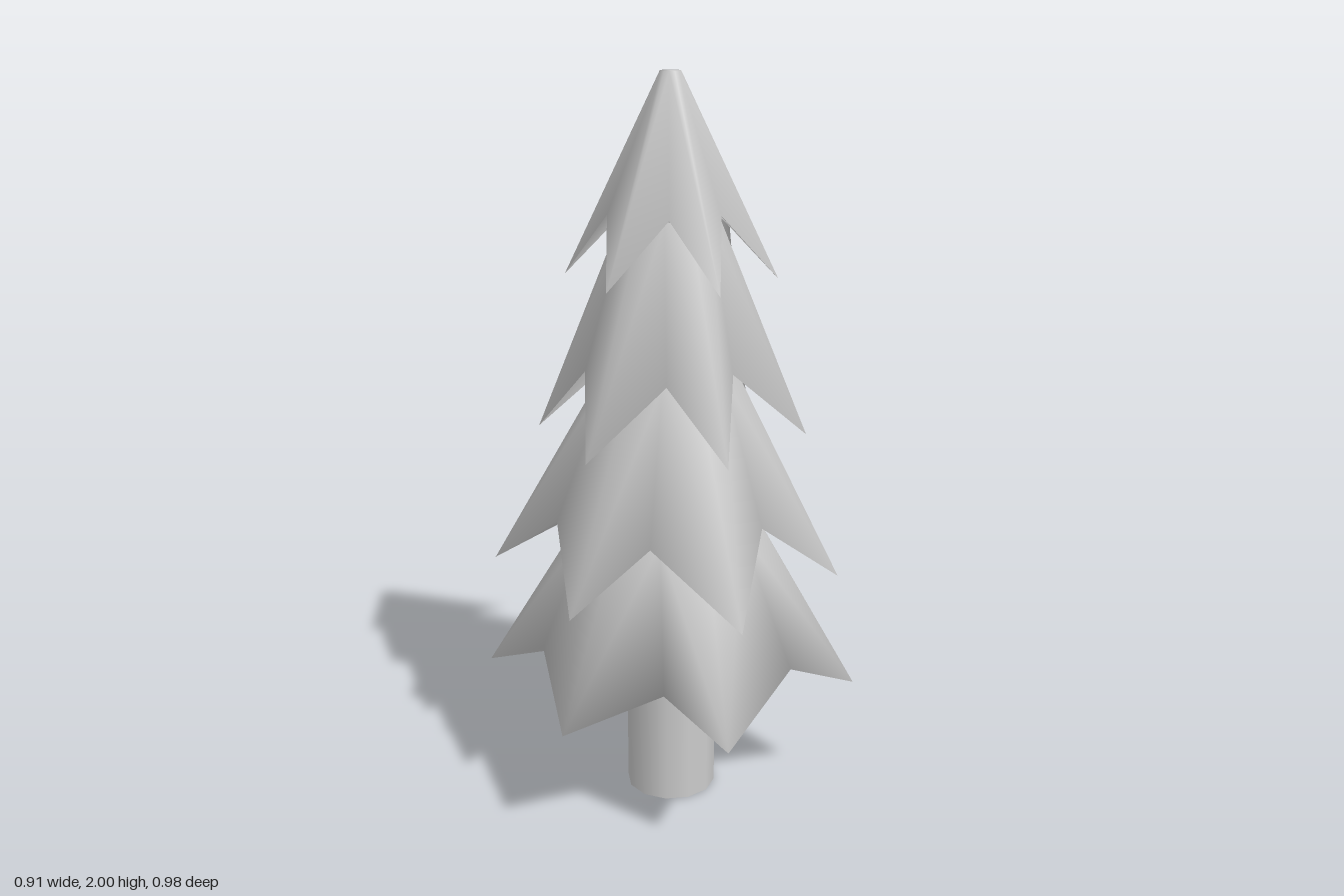
import * as THREE from 'three';

const SIDES = 12;
const material = new THREE.MeshStandardMaterial({ color: 0xcccccc });

// Round 12-point ring of radius r at height y, starting at the front and turning towards +x
function roundRing(r, y) {
  return Array.from({ length: SIDES }, (_, k) => {
    const a = (k / SIDES) * Math.PI * 2;
    return [r * Math.sin(a) - 0.004, y, r * Math.cos(a) + 0.008];
  });
}

// Star ring: even points are drooping tips, odd points are raised notches
function starRing(outline, tipY, notchY) {
  return outline.map(([x, z], k) => [x, k % 2 ? notchY : tipY, z]);
}

// Smooth skin over rings listed from top to bottom, optionally closed at the top
function skin(rings, capTop) {
  const points = rings.flat();
  const index = [];
  for (let r = 0; r < rings.length - 1; r++) {
    for (let k = 0; k < SIDES; k++) {
      const n = (k + 1) % SIDES;
      const a = r * SIDES + k, d = r * SIDES + n;
      const b = a + SIDES, c = d + SIDES;
      // split each quad along the line that ends at the star tip
      if (k % 2) index.push(a, b, c, a, c, d);
      else index.push(a, b, d, b, c, d);
    }
  }
  if (capTop) {
    const centre = points.length;
    points.push([-0.004, rings[0][0][1], 0.008]);
    for (let k = 0; k < SIDES; k++) index.push(centre, k, (k + 1) % SIDES);
  }
  const geometry = new THREE.BufferGeometry();
  geometry.setAttribute('position', new THREE.Float32BufferAttribute(points.flat(), 3));
  geometry.setIndex(index);
  geometry.computeVertexNormals();
  return geometry;
}

// Branch tiers from top to bottom: neck radius and height, star heights and [x, z] outline
const tiers = [
  { name: 'topTier', neck: [0.027, 2], tipY: 1.48, notchY: 1.65, outline: [
    [0, 0.28], [0.09, 0.14], [0.25, 0.145], [0.15, 0], [0.24, -0.13], [0.08, -0.13],
    [0, -0.27], [-0.07, -0.12], [-0.245, -0.13], [-0.155, 0], [-0.245, 0.15], [-0.095, 0.155]] },
  { name: 'upperTier', neck: [0.125, 1.64], tipY: 1.06, notchY: 1.245, outline: [
    [0, 0.37], [0.13, 0.205], [0.31, 0.19], [0.195, 0.005], [0.31, -0.175], [0.09, -0.18],
    [0, -0.355], [-0.1, -0.16], [-0.315, -0.175], [-0.21, 0.005], [-0.315, 0.19], [-0.135, 0.205]] },
  { name: 'lowerTier', neck: [0.175, 1.23], tipY: 0.66, notchY: 0.84, outline: [
    [0, 0.445], [0.145, 0.295], [0.4, 0.25], [0.29, 0], [0.4, -0.215], [0.195, -0.31],
    [0, -0.45], [-0.18, -0.285], [-0.41, -0.215], [-0.345, 0], [-0.445, 0.245], [-0.18, 0.28]] },
  { name: 'bottomTier', neck: [0.235, 0.82], tipY: 0.35, notchY: 0.46, outline: [
    [0.005, 0.49], [0.21, 0.325], [0.4, 0.305], [0.39, 0], [0.455, -0.225], [0.235, -0.295],
    [0.05, -0.49], [-0.195, -0.3], [-0.395, -0.32], [-0.37, 0], [-0.455, 0.27], [-0.23, 0.295]] },
];

export function createModel() {
  const tree = new THREE.Group();
  tree.name = 'pineTree';

  // Each tier flares to its star and folds back under to the next neck, or to the trunk
  tiers.forEach((tier, i) => {
    const next = tiers[i + 1] ? tiers[i + 1].neck : [0.125, 0.43];
    const mesh = new THREE.Mesh(skin([
      roundRing(...tier.neck),
      starRing(tier.outline, tier.tipY, tier.notchY),
      roundRing(...next),
    ], i === 0), material);
    mesh.name = tier.name;
    tree.add(mesh);
  });

  // Trunk
  const trunk = new THREE.Mesh(new THREE.CylinderGeometry(0.125, 0.125, 0.43, SIDES), material);
  trunk.position.set(-0.004, 0.215, 0.008);
  trunk.name = 'trunk';
  tree.add(trunk);

  return tree;
}
